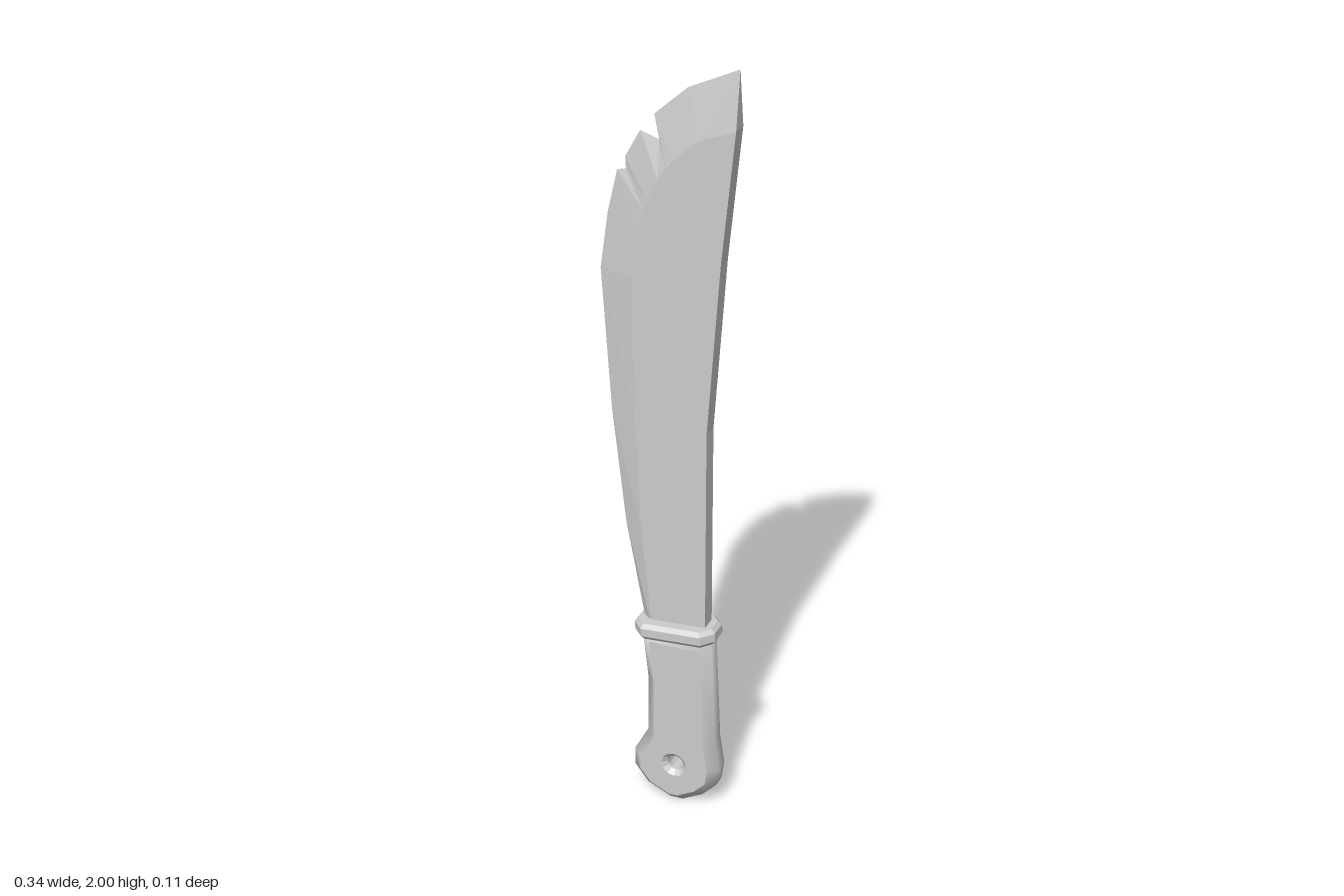
import * as THREE from 'three';

const steel = new THREE.MeshStandardMaterial({ color: 0xcccccc });
steel.name = 'plain grey';

// Move a counter-clockwise outline inwards by d, with mitred corners
function inset(pts, d) {
  const n = pts.length;
  return pts.map(([x, y], i) => {
    const [px, py] = pts[(i + n - 1) % n], [qx, qy] = pts[(i + 1) % n];
    const a = new THREE.Vector2(-(y - py), x - px).normalize();
    const b = new THREE.Vector2(-(qy - y), qx - x).normalize();
    const k = d / (1 + a.dot(b));
    return [x + (a.x + b.x) * k, y + (a.y + b.y) * k];
  });
}

const lift = (pts, z) => pts.map(([x, y]) => [x, y, z]);

// Skin between successive closed rings, smooth or faceted
function skin(rings, flat, closed = true) {
  const n = rings[0].length, index = [];
  for (let r = 0; r < rings.length - 1; r++) {
    for (let i = 0; i < (closed ? n : n - 1); i++) {
      const a = r * n + i, b = r * n + (i + 1) % n;
      index.push(a, b, b + n, a, b + n, a + n);
    }
  }
  let g = new THREE.BufferGeometry();
  g.setAttribute('position', new THREE.Float32BufferAttribute(rings.flat(2), 3));
  g.setIndex(index);
  if (flat) g = g.toNonIndexed();
  g.computeVertexNormals();
  return g;
}

// Flat face at height z, facing +z or, if back is set, -z
function face(pts, z, back, hole) {
  const shape = new THREE.Shape(pts.map(p => new THREE.Vector2(...p)));
  if (hole) shape.holes.push(new THREE.Path(hole.map(p => new THREE.Vector2(...p))));
  const g = new THREE.ShapeGeometry(shape);
  if (back) g.index.array.reverse();
  g.computeVertexNormals();
  return g.translate(0, 0, z);
}

function part(name, geometries) {
  const group = new THREE.Group();
  group.name = name;
  for (const g of geometries) {
    const mesh = new THREE.Mesh(g, steel);
    mesh.name = name + 'Surface';
    group.add(mesh);
  }
  return group;
}

// Curved blade: chipped cutting edge, grind line and thick spine
function blade() {
  const t = 0.022;
  const edge = [[-0.062, 0.5], [-0.115, 0.785], [-0.15, 1.09], [-0.175, 1.46], [-0.155, 1.605],
    [-0.13, 1.715], [-0.108, 1.72], [-0.11, 1.75], [-0.072, 1.82], [-0.025, 1.805],
    [-0.037, 1.865], [0.045, 1.94], [0.17, 2]];
  const ridge = [[-0.037, 0.5], [-0.065, 0.785], [-0.08, 1.09], [-0.085, 1.46], [-0.07, 1.57],
    [-0.055, 1.63], [-0.047, 1.655], [-0.042, 1.67], [-0.02, 1.715], [0, 1.745],
    [0.02, 1.77], [0.08, 1.825], [0.17, 1.86]];
  const spine = [[0.105, 0.5], [0.105, 1.08], [0.137, 1.53], [0.17, 1.86]];
  const flat = [...spine, ...ridge.slice(0, -1).reverse()];
  const sharp = lift(edge, 0);
  const tip = [[0.17, 2, 0], [0.17, 2, 0]];
  const end = [[0.17, 1.86, t], [0.17, 1.86, -t]];
  return part('blade', [
    face(flat, t), face(flat, -t, true),
    skin([lift(ridge, t), sharp], true, false),
    skin([sharp, lift(ridge, -t)], true, false),
    skin([lift(spine, -t), lift(spine, t)], true, false),
    skin([end, tip], true, false),
  ]);
}

// Grip with rounded rim, flat sides and a countersunk lanyard hole
function handle() {
  const outline = [[-0.066, 0.5], [-0.05, 0.36], [-0.05, 0.195], [-0.087, 0.125], [-0.087, 0.075],
    [-0.05, 0.028], [0.01, 0], [0.045, 0], [0.1, 0.03], [0.138, 0.07],
    [0.145, 0.12], [0.133, 0.2], [0.12, 0.5]];
  const inner = inset(outline, 0.024);
  const circle = r => Array.from({ length: 12 }, (_, i) => {
    const a = -i * Math.PI / 6;
    return [0.03 + r * Math.cos(a), 0.118 + r * Math.sin(a)];
  });
  const wide = circle(0.034), narrow = circle(0.021);
  return part('handle', [
    skin([lift(inner, -0.042), lift(outline, -0.018), lift(outline, 0.018), lift(inner, 0.042)], false),
    face(inner, 0.042, false, wide), face(inner, -0.042, true, wide),
    skin([lift(wide, -0.042), lift(narrow, -0.03), lift(narrow, 0.03), lift(wide, 0.042)], true),
  ]);
}

// Bevelled eight-sided collar, slightly tilted
function guard() {
  const o = [[-0.108, -0.024], [-0.079, -0.055], [0.079, -0.055], [0.108, -0.024],
    [0.108, 0.024], [0.079, 0.055], [-0.079, 0.055], [-0.108, 0.024]];
  const i = inset(o, 0.009);
  const group = part('guard', [
    skin([lift(i, -0.022), lift(o, -0.011), lift(o, 0.011), lift(i, 0.022)], true),
    face(i, 0.022), face(i, -0.022, true),
  ].map(g => g.rotateX(-Math.PI / 2)));
  group.position.set(0.025, 0.511, 0);
  group.rotation.z = 0.07;
  return group;
}

export function createModel() {
  const model = new THREE.Group();
  model.name = 'machete';
  model.add(blade(), handle(), guard());
  return model;
}
